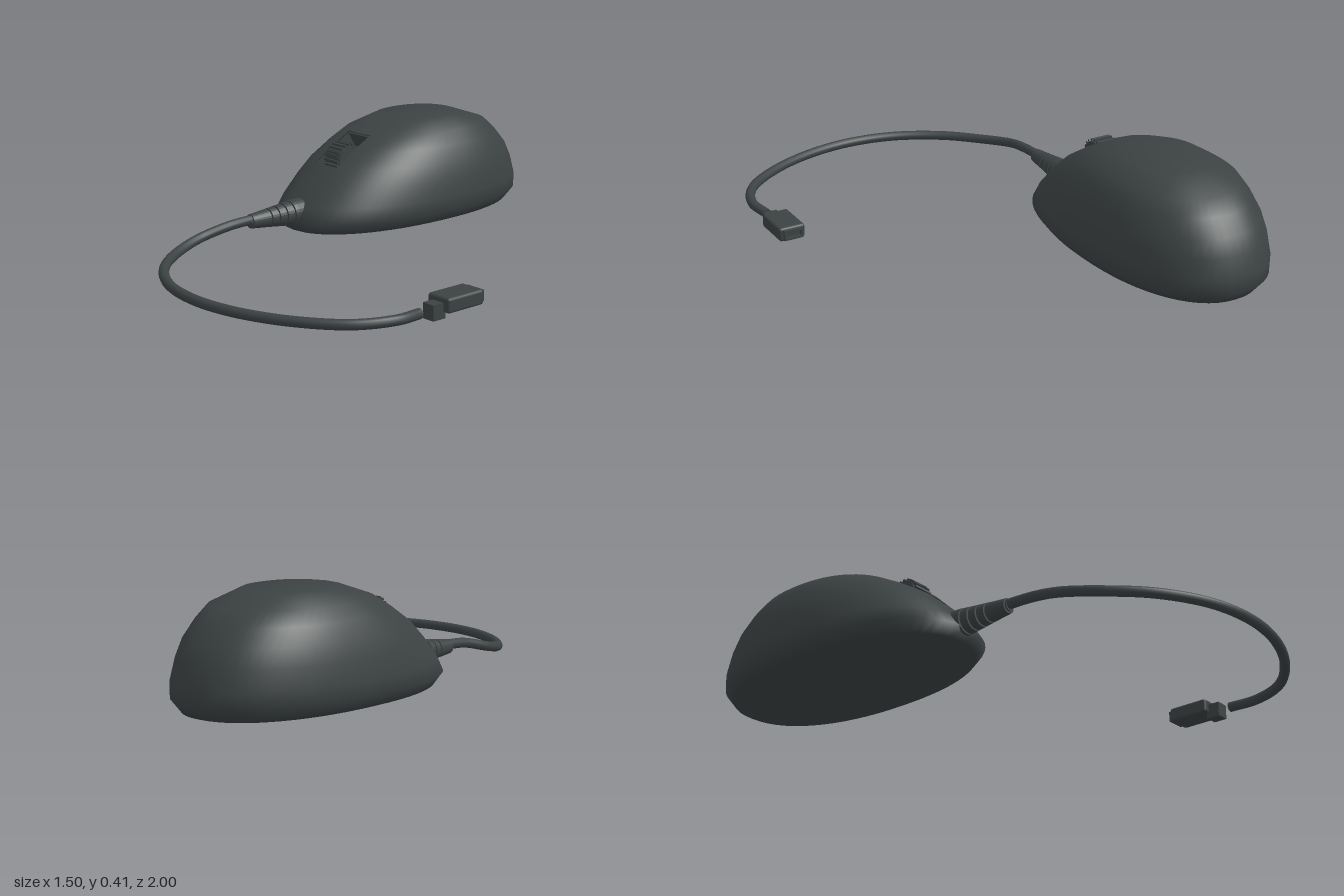
import * as THREE from 'three';
import { RoundedBoxGeometry } from 'three/addons/geometries/RoundedBoxGeometry.js';

const CX = -0.437;      // centre line of the mouse
const HOLE = 0.065;     // half width of the scroll wheel opening
const POWER = 2.25;     // squareness of the plan outline

// Shell sections: height, back z, front z, half width
const SECTIONS = [
  [0.015, -0.965, 0.130, 0.280],
  [0.060, -1.000, 0.158, 0.316],
  [0.115, -0.998, 0.118, 0.316],
  [0.190, -0.975, 0.045, 0.302],
  [0.250, -0.945, -0.022, 0.284],
  [0.310, -0.893, -0.118, 0.255],
  [0.358, -0.838, -0.205, 0.222],
  [0.405, -0.700, -0.350, 0.145],
];

function shellGeometry() {
  const N = 56, cols = N + 2, pos = [], idx = [];
  const pow = (v) => Math.sign(v) * Math.abs(v) ** (2 / POWER);
  for (const [y, back, front, w] of SECTIONS) {
    const mid = (front + back) / 2, half = (front - back) / 2;
    const t0 = Math.asin((HOLE / w) ** (POWER / 2));
    for (let j = 0; j < cols; j++) {
      // the last column is the centre line of the nose
      const t = j > N ? 0 : t0 + (2 * Math.PI - 2 * t0) * j / N;
      pos.push(CX + w * pow(Math.sin(t)), y, mid + half * pow(Math.cos(t)));
    }
  }
  const last = SECTIONS.length - 1;
  for (let i = 0; i < last; i++) {
    for (let j = 0; j < cols; j++) {
      if (j >= N && (i === 4 || i === 5)) continue; // scroll wheel opening
      const a = i * cols + j, b = i * cols + (j + 1) % cols;
      idx.push(a, b, b + cols, a, b + cols, a + cols);
    }
  }
  // Underside and top
  const bottom = pos.length / 3;
  pos.push(CX, SECTIONS[0][0], -0.42, CX, SECTIONS[last][0], -0.525);
  for (let j = 0; j < cols; j++) {
    const k = (j + 1) % cols;
    idx.push(bottom, k, j, bottom + 1, last * cols + j, last * cols + k);
  }
  const g = new THREE.BufferGeometry();
  g.setAttribute('position', new THREE.Float32BufferAttribute(pos, 3));
  g.setIndex(idx);
  g.computeVertexNormals();
  return g;
}

export function createModel() {
  const model = new THREE.Group();
  model.name = 'wiredMouse';
  const plastic = new THREE.MeshStandardMaterial({ color: 0x3c4242, side: THREE.DoubleSide });
  plastic.name = 'charcoalPlastic';

  const add = (parent, name, geometry, x = 0, y = 0, z = 0) => {
    const m = new THREE.Mesh(geometry, plastic);
    m.name = name;
    m.position.set(x, y, z);
    parent.add(m);
    return m;
  };
  const group = (name, x, y, z) => {
    const g = new THREE.Group();
    g.name = name;
    g.position.set(x, y, z);
    model.add(g);
    return g;
  };

  add(model, 'shell', shellGeometry());

  // Sunken pocket around the wheel, tilted with the slope
  const pocket = group('wheelPocket', CX, 0.304, -0.114);
  pocket.rotation.x = Math.atan2(0.108, 0.183);
  add(pocket, 'pocketFloor', new THREE.BoxGeometry(0.14, 0.006, 0.22), 0, -0.085, 0);
  for (const s of [-1, 1]) {
    add(pocket, 'pocketSide', new THREE.BoxGeometry(0.006, 0.075, 0.21), s * 0.067, -0.049, 0);
    add(pocket, 'pocketEnd', new THREE.BoxGeometry(0.13, 0.078, 0.006), 0, -0.048, s * 0.107);
  }

  // Ribbed scroll wheel
  const wheel = group('scrollWheel', CX, 0.266, -0.125);
  add(wheel, 'wheelCore', new THREE.CylinderGeometry(0.056, 0.056, 0.088, 32)).rotation.z = Math.PI / 2;
  for (let i = 0; i < 20; i++) {
    const a = i / 20 * Math.PI * 2;
    const rib = add(wheel, 'wheelRib', new THREE.BoxGeometry(0.08, 0.014, 0.009),
      0, 0.058 * Math.cos(a), 0.058 * Math.sin(a));
    rib.rotation.x = a;
  }

  // Small seam below the wheel
  const seam = group('buttonSeam', CX, 0.221, 0.008);
  seam.rotation.x = Math.atan2(0.06, 0.067);
  add(seam, 'seamHead', new THREE.BoxGeometry(0.024, 0.008, 0.04), 0, 0, -0.012);
  add(seam, 'seamTail', new THREE.BoxGeometry(0.01, 0.008, 0.04), 0, 0, 0.028);

  // Stepped strain relief with grooves between the rings
  const relief = [[0, 0.10], [0.052, 0.10]];
  const steps = [[0.14, 0.051], [0.16, 0.048], [0.195, 0.044], [0.23, 0.040], [0.265, 0.036], [0.35, 0.027]];
  for (let i = 0; i < steps.length - 1; i++) {
    const [z0, r0] = steps[i], [z1, r1] = steps[i + 1];
    relief.push([r0, z0], [r1 + 0.001, z1 - 0.006], [r1 - 0.007, z1 - 0.006], [r1 - 0.007, z1]);
  }
  relief.push([0, 0.35]);
  const reliefGeo = new THREE.LatheGeometry(relief.map(([r, z]) => new THREE.Vector2(r, z)), 28).toNonIndexed();
  reliefGeo.computeVertexNormals();
  add(model, 'strainRelief', reliefGeo, CX, 0.088, 0).rotation.x = Math.PI / 2;

  // Cable
  const path = [
    [CX, 0.095, 0.33], [-0.437, 0.088, 0.45], [-0.449, 0.060, 0.58], [-0.40, 0.037, 0.72],
    [-0.28, 0.033, 0.85], [-0.10, 0.034, 0.947], [0.10, 0.035, 0.98], [0.30, 0.035, 0.953],
    [0.50, 0.035, 0.868], [0.65, 0.035, 0.745], [0.708, 0.035, 0.61], [0.696, 0.03, 0.5],
  ].map((p) => new THREE.Vector3(...p));
  add(model, 'cable', new THREE.TubeGeometry(new THREE.CatmullRomCurve3(path), 110, 0.019, 14));
  add(model, 'cableEnd', new THREE.CircleGeometry(0.019, 14), 0.696, 0.03, 0.5).rotation.y = Math.PI;

  // Plug: housing, neck and hollow tip
  const plug = group('plug', 0.698, 0, 0);
  add(plug, 'plugHousing', new RoundedBoxGeometry(0.104, 0.054, 0.165, 2, 0.01), 0, 0.048, 0.335);
  add(plug, 'plugNeck', new THREE.BoxGeometry(0.052, 0.056, 0.055), 0, 0.028, 0.435);
  const frame = new THREE.Shape().moveTo(-0.038, -0.02).lineTo(0.038, -0.02).lineTo(0.038, 0.02).lineTo(-0.038, 0.02);
  frame.holes.push(new THREE.Path().moveTo(-0.03, -0.012).lineTo(-0.03, 0.012).lineTo(0.03, 0.012).lineTo(0.03, -0.012));
  add(plug, 'plugTip', new THREE.ExtrudeGeometry(frame, { depth: 0.02, bevelEnabled: false }), 0, 0.048, 0.24);

  return model;
}
